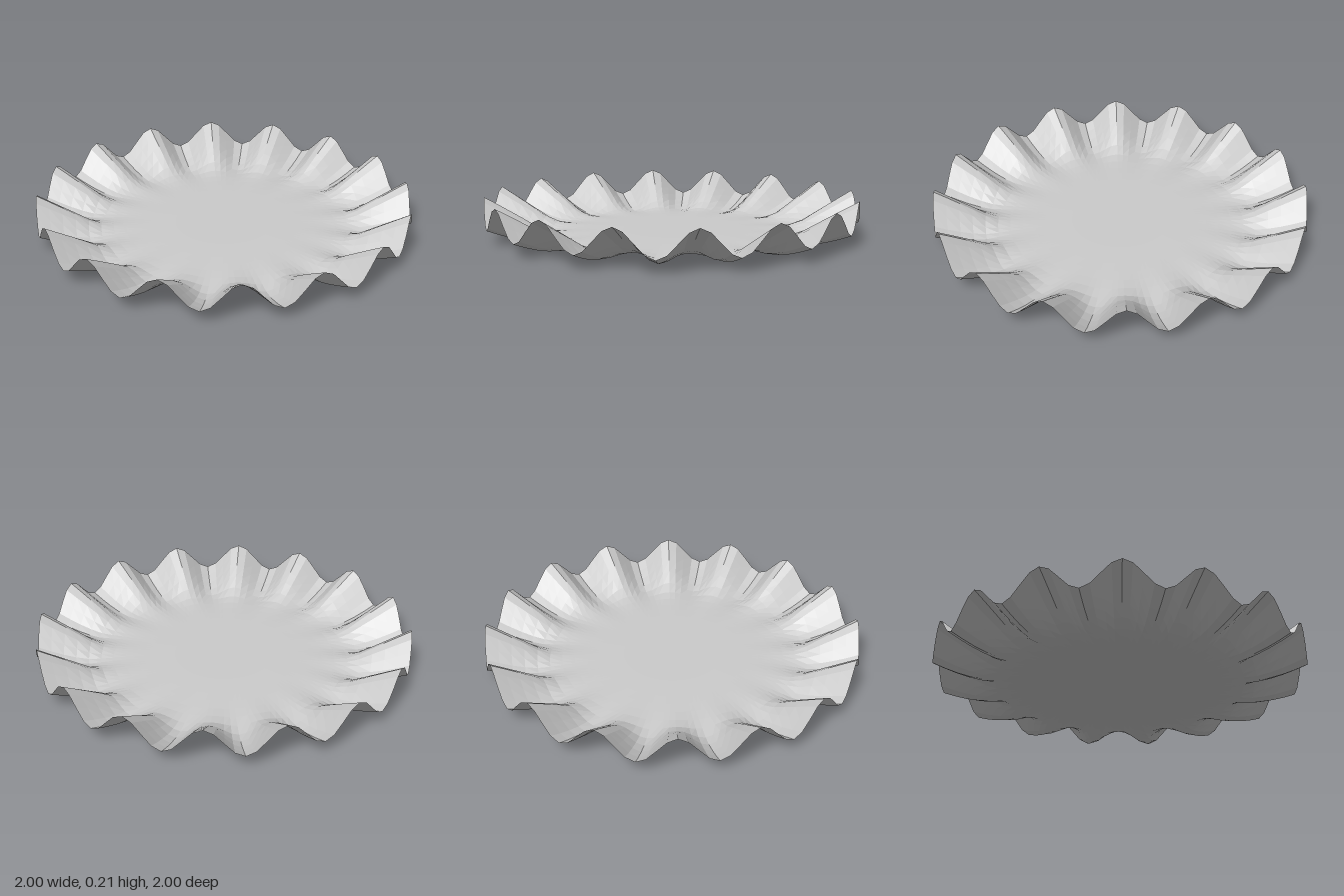
import * as THREE from 'three';

const WAVES = 16;
const SEGMENTS = WAVES * 8;

// Heights along a wave crest and a wave trough, ring by ring from centre to rim
const CREST = [0.024, 0.024, 0.024, 0.024, 0.024, 0.023, 0.022, 0.021, 0.02, 0.021, 0.028, 0.056, 0.098, 0.138, 0.177, 0.215];
const TROUGH = [0.024, 0.024, 0.024, 0.024, 0.024, 0.023, 0.022, 0.02, 0.017, 0.013, 0.007, 0.002, 0.009, 0.024, 0.045, 0.07];
const RINGS = CREST.length - 1;

export function createModel() {
  const group = new THREE.Group();
  group.name = 'ruffledPlate';

  // Flat disc whose rings are lifted into waves that grow towards the rim
  const profile = CREST.map((_, i) => new THREE.Vector2(i / RINGS, 0));
  const geometry = new THREE.LatheGeometry(profile, SEGMENTS);

  const pos = geometry.attributes.position;
  for (let i = 0; i < pos.count; i++) {
    const ring = i % (RINGS + 1);
    const angle = (Math.floor(i / (RINGS + 1)) / SEGMENTS) * Math.PI * 2;
    const wave = 0.5 + 0.5 * Math.cos(WAVES * angle);
    pos.setY(i, THREE.MathUtils.lerp(TROUGH[ring], CREST[ring], wave));
  }
  geometry.computeVertexNormals();

  const plate = new THREE.Mesh(
    geometry,
    new THREE.MeshStandardMaterial({ color: 0xcccccc, flatShading: true, side: THREE.DoubleSide })
  );
  plate.name = 'plate';
  group.add(plate);
  return group;
}
